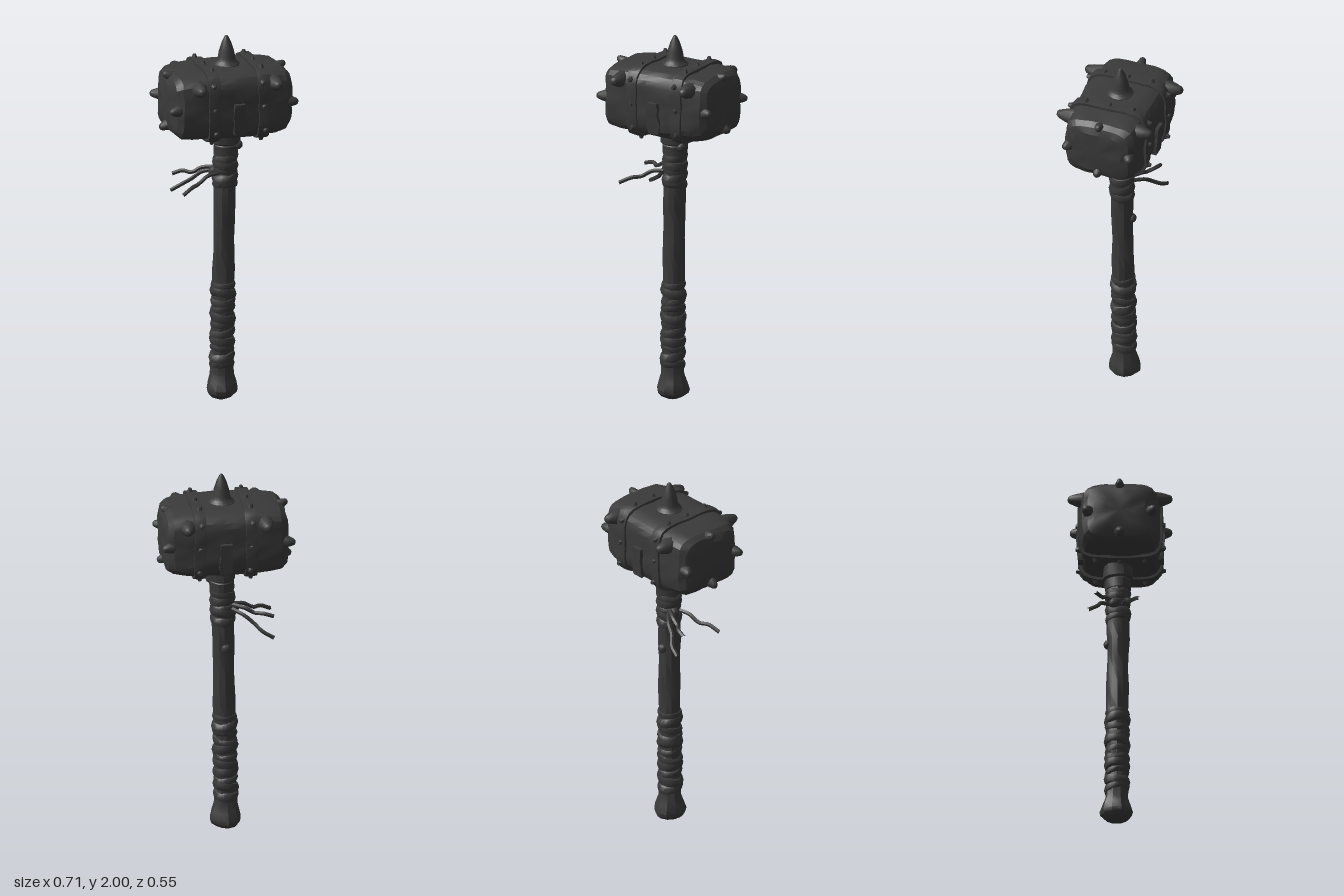
import * as THREE from 'three';
import { mergeVertices, toCreasedNormals } from 'three/addons/utils/BufferGeometryUtils.js';

const darkIron = new THREE.MeshStandardMaterial({ color: 0x3a3a3a });
const UP = new THREE.Vector3(0, 1, 0);

// Smooth bumpy field used to roughen surfaces
const bump = (x, y, z) =>
  Math.sin(x * 23 + y * 11 + 1.3) * Math.sin(y * 27 - z * 9 + 0.4) * Math.cos(z * 21 + x * 13 + 2.1);

export function createModel() {
  const model = new THREE.Group();

  // Moves every vertex by a rule, then welds and shades with creased edges
  function addPart(name, geo, rule, crease = 0.6, parent = model) {
    const p = geo.attributes.position;
    const v = new THREE.Vector3();
    for (let i = 0; i < p.count; i++) {
      v.fromBufferAttribute(p, i);
      if (rule) rule(v);
      p.setXYZ(i, v.x, v.y, v.z);
    }
    geo.deleteAttribute('uv');
    geo.deleteAttribute('normal');
    const mesh = new THREE.Mesh(toCreasedNormals(mergeVertices(geo, 1e-4), crease), darkIron);
    mesh.name = name;
    parent.add(mesh);
    return mesh;
  }
  const lathe = (pts, sides) => new THREE.LatheGeometry(pts.map(([r, y]) => new THREE.Vector2(r, y)), sides);

  // Turns a unit lathe around y into a rough rounded-square barrel along x
  const barrel = (cx, hy, hz, rough, power = 5) => (v) => {
    const r = Math.hypot(v.x, v.z);
    const a = Math.atan2(v.z, v.x);
    const k = r / Math.pow(Math.abs(Math.cos(a)) ** power + Math.abs(Math.sin(a)) ** power, 1 / power);
    const x = cx + v.y, y = k * Math.cos(a) * hy, z = -k * Math.sin(a) * hz;
    const n = 1 + rough * (bump(x, y, z) + 0.5 * bump(x * 2.3, y * 2, z * 2.2));
    v.set(x + 0.2 * rough * bump(y * 1.5, z, x), 1.66 + y * n, z * n);
  };

  // Hammer head
  addPart('head', lathe([
    [0, -0.325], [0.35, -0.325], [0.62, -0.322], [0.8, -0.308], [0.92, -0.28], [0.97, -0.22], [0.99, -0.16],
    [1, -0.09], [1.01, -0.03], [1.01, 0.04], [1, 0.1], [0.99, 0.17], [0.97, 0.23], [0.91, 0.29],
    [0.8, 0.318], [0.62, 0.332], [0.35, 0.335], [0, 0.335],
  ], 48), barrel(0, 0.182, 0.212, 0.03), 0.35);

  // Iron bands with their rivets
  for (const [name, cx] of [['rightBand', -0.115], ['leftBand', 0.155]]) {
    const band = new THREE.Group();
    band.name = name;
    model.add(band);
    addPart('bandStrap', lathe([[0.92, -0.031], [1, -0.031], [1.012, 0], [1, 0.031], [0.92, 0.031]], 48),
      barrel(cx, 0.194, 0.222, 0.02), 0.5, band);
    for (const s of [-1, 1]) {
      for (const t of [-0.13, 0, 0.13]) {
        const geoA = new THREE.CylinderGeometry(0.009, 0.018, 0.024, 7).rotateX(s < 0 ? Math.PI : 0);
        addPart('rivet', geoA, null, 0.7, band).position.set(cx + t * 0.05, 1.66 + s * 0.198, t);
        const geoB = new THREE.CylinderGeometry(0.009, 0.018, 0.024, 7).rotateX(s * Math.PI / 2);
        addPart('rivet', geoB, null, 0.7, band).position.set(cx - t * 0.05, 1.66 + t, s * 0.223);
      }
    }
  }

  // Worn side plates between the bands
  for (const s of [-1, 1]) {
    const plate = addPart('sidePlate', new THREE.BoxGeometry(0.065, 0.17, 0.04, 2, 5, 1),
      (v) => { v.x += 0.012 * bump(v.x, v.y * 2, v.z); v.z += s * 0.004 * bump(v.y * 2, v.x * 3, 0); }, 0.5);
    plate.position.set(0.02, 1.6, s * 0.208);
    plate.rotation.x = s * 0.06;
  }

  // Blunt spikes, placed by base point and direction
  function addSpike(pos, dir, size = 1) {
    const spike = addPart('spike', lathe([
      [0.05, -0.04], [0.042, 0], [0.034, 0.03], [0.021, 0.064], [0.012, 0.073], [0, 0.075],
    ], 9), null, 0.7);
    spike.position.set(...pos);
    spike.quaternion.setFromUnitVectors(UP, new THREE.Vector3(...dir).normalize());
    spike.scale.setScalar(size);
  }
  for (const s of [-1, 1]) {
    addSpike([-0.195, 1.775, s * 0.2], [-0.03, 0.06, s]);
    addSpike([0.22, 1.775, s * 0.194], [0.06, 0.06, s]);
    for (const e of [-1, 1]) addSpike([e * 0.292, 1.66, s * 0.16], [e, 0, s * 0.4], 0.85);
    addSpike([s * 0.285, 1.8, 0], [s, 0.5, 0], 0.75);
    addSpike([s * 0.295, 1.545, 0], [s, -0.35, 0], 0.85);
  }

  // Crown spike on top
  addPart('crownSpike', lathe([
    [0.075, 1.81], [0.07, 1.845], [0.052, 1.862], [0.046, 1.88], [0.04, 1.915], [0.025, 1.962], [0.009, 1.994], [0, 2],
  ], 14), null, 0.5).position.set(0.015, 0, -0.006);

  // Handle axis leans slightly
  const axisX = (y) => -0.01 + 0.016 * y;
  const axisZ = (y) => -0.02 + 0.006 * y;
  const lean = (rough) => (v) => {
    const n = 1 + rough * bump(v.x * 1.5, v.y * 0.6, v.z * 1.5);
    v.set(v.x * n + axisX(v.y), v.y, v.z * n + axisZ(v.y));
  };

  // Wooden shaft
  const shaft = [[0.058, 0.14]];
  for (let i = 0; i <= 14; i++) shaft.push([0.058 - 0.002 * Math.sin(i * 1.7), 0.2 + i * 0.086]);
  addPart('shaft', lathe(shaft, 12), lean(0.08), 0.5);

  // Flared pommel
  addPart('pommel', lathe([
    [0, 0], [0.03, 0.004], [0.06, 0.018], [0.08, 0.038], [0.085, 0.058], [0.074, 0.1], [0.062, 0.14], [0.062, 0.19],
  ], 10), lean(0.12), 0.5);

  // Collar beneath the head
  addPart('collar', lathe([
    [0.05, 1.345], [0.066, 1.35], [0.068, 1.4], [0.064, 1.405], [0.076, 1.415], [0.078, 1.45], [0.08, 1.5],
  ], 16), lean(0.1), 0.5);

  // Tilted leather turns
  function addWrap(name, y0, y1, count) {
    const group = new THREE.Group();
    group.name = name;
    model.add(group);
    for (let i = 0; i < count; i++) {
      const y = y0 + (y1 - y0) * i / (count - 1);
      const tube = 0.014 + 0.003 * Math.sin(i * 2.3);
      const turn = addPart('wrapTurn', new THREE.TorusGeometry(0.054, tube, 7, 20).rotateX(Math.PI / 2),
        (v) => {
          v.y *= 1.7 + 0.4 * bump(v.x * 2, i, v.z * 2);
          v.y += 0.2 * Math.sin(i * 1.9) * v.x + 0.16 * Math.cos(i * 2.7) * v.z;
        }, 0.8, group);
      turn.position.set(axisX(y), y, axisZ(y));
    }
  }
  addWrap('gripWrap', 0.195, 0.63, 11);
  addWrap('neckWrap', 1.185, 1.33, 5);

  // Knots on the shaft
  for (const [x, y, z, r] of [[0, 1.03, -0.064, 0.026], [0.07, 1.4, 0.02, 0.026], [-0.045, 1.25, -0.03, 0.032]]) {
    addPart('knot', new THREE.IcosahedronGeometry(r, 1), null, 0.7).position.set(x, y, z);
  }

  // Loose thongs blowing from the neck wrap
  const thongs = [
    [[-0.03, 1.25, 0.01], [-0.1, 1.245, 0.03], [-0.16, 1.21, 0.05], [-0.2, 1.205, 0.08], [-0.26, 1.175, 0.105]],
    [[-0.03, 1.27, -0.04], [-0.1, 1.26, -0.08], [-0.15, 1.235, -0.09], [-0.19, 1.24, -0.12], [-0.245, 1.225, -0.13]],
    [[-0.03, 1.25, -0.05], [-0.09, 1.23, -0.1], [-0.14, 1.19, -0.12], [-0.18, 1.155, -0.155], [-0.24, 1.12, -0.17]],
  ];
  for (const pts of thongs) {
    const curve = new THREE.CatmullRomCurve3(pts.map((p) => new THREE.Vector3(...p)));
    addPart('thong', new THREE.TubeGeometry(curve, 16, 0.011, 5), null, 0.9);
  }

  return model;
}
